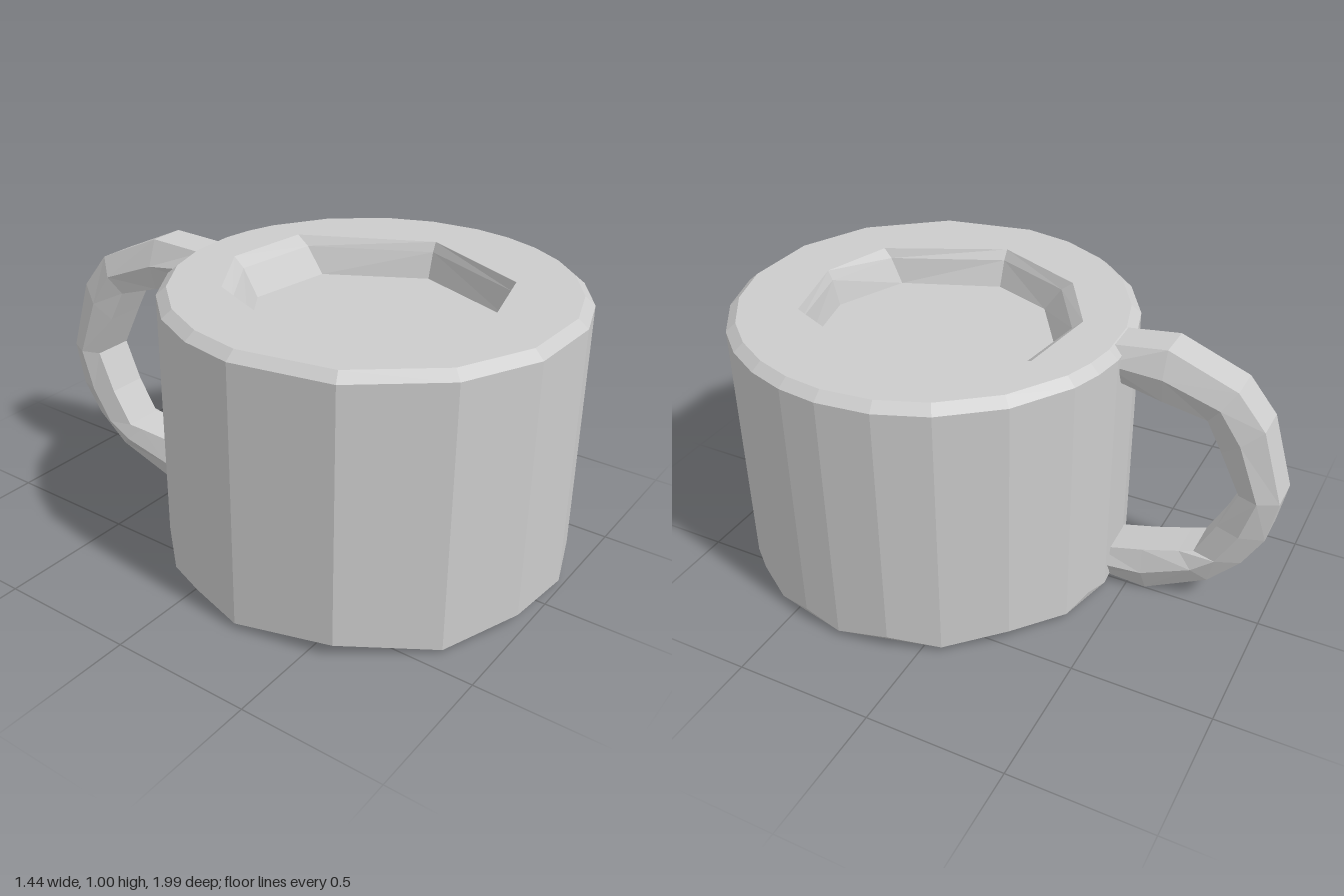
import * as THREE from 'three';

const material = new THREE.MeshStandardMaterial({ color: 0xcccccc, flatShading: true });
const CZ = 0.28; // centre of the cup in z
const R = 0.72; // radius of the cup

// Skins a list of closed rings (equal point counts), with optional flat caps.
function loft(rings, capStart, capEnd) {
  const pos = [];
  const tri = (a, b, c) => pos.push(...a, ...b, ...c);
  const n = rings[0].length;
  for (let k = 0; k < rings.length - 1; k++) {
    const lo = rings[k], hi = rings[k + 1];
    for (let i = 0; i < n; i++) {
      const j = (i + 1) % n;
      // alternate the diagonal for a faceted look
      if (i % 2) {
        tri(lo[i], hi[i], lo[j]);
        tri(hi[i], hi[j], lo[j]);
      } else {
        tri(lo[i], hi[i], hi[j]);
        tri(lo[i], hi[j], lo[j]);
      }
    }
  }
  const cap = (ring, flip) => {
    const c = [0, 1, 2].map((a) => ring.reduce((s, p) => s + p[a], 0) / n);
    for (let i = 0; i < n; i++) {
      const a = ring[i], b = ring[(i + 1) % n];
      if (flip) tri(c, b, a); else tri(c, a, b);
    }
  };
  if (capStart) cap(rings[0], false);
  if (capEnd) cap(rings[rings.length - 1], true);
  const g = new THREE.BufferGeometry();
  g.setAttribute('position', new THREE.Float32BufferAttribute(pos, 3));
  g.computeVertexNormals();
  return g;
}

function part(name, geometry) {
  const mesh = new THREE.Mesh(geometry, material);
  mesh.name = name;
  return mesh;
}

export function createModel() {
  const group = new THREE.Group();
  group.name = 'mug';

  // Uneven corner angles of the base, with a midpoint between each pair
  const corners = [1, 24, 48, 80, 127, 183, 214, 247, 275, 293, 331];
  const angles = corners.flatMap((a, i) => {
    const next = i + 1 < corners.length ? corners[i + 1] : corners[0] + 360;
    return [a, (a + next) / 2];
  }).map(THREE.MathUtils.degToRad);
  const at = (t, r, y) => [r * Math.cos(t), y, CZ + r * Math.sin(t)];
  const circle = (r, y) => angles.map((t) => at(t, r, y));

  // Base: midpoints pulled in to the chord so wedges form under the wall
  const base = circle(R, 0.02).map((p, i, all) => {
    if (i % 2 === 0) return p;
    const a = all[i - 1], b = all[(i + 1) % all.length];
    return [(a[0] + b[0]) / 2, 0.02, (a[2] + b[2]) / 2];
  });
  const foot = angles.map((t, i) => at(t, R, i % 2 ? 0.05 : 0.021));
  const rim = circle(0.685, 0.99);
  group.add(part('cupWall', loft([base, foot, circle(R, 0.96), rim], true, false)));

  // Eight-sided recess: [x, z] at the opening and at the floor
  const opening = [[0.47, 0.24], [0.28, 0.66], [-0.02, 0.74], [-0.28, 0.66],
    [-0.48, 0.24], [-0.33, -0.1], [-0.08, -0.25], [0.24, -0.21]];
  const floor = [[0.43, 0.24], [0.28, 0.63], [-0.02, 0.7], [-0.28, 0.59],
    [-0.42, 0.24], [-0.33, 0.01], [-0.08, -0.15], [0.24, -0.1]];
  const level = (pts, y) => pts.map(([x, z]) => [x, y, z]);
  const lip = opening.map(([x, z], i) => [
    x + (floor[i][0] - x) * 0.4, 0.955, z + (floor[i][1] - z) * 0.4]);
  group.add(part('recess', loft([level(opening, 0.99), lip, level(floor, 0.86)], false, true)));

  // Flat top ring between the rim and the recess
  const shape = new THREE.Shape(rim.map((p) => new THREE.Vector2(p[0], -p[2])));
  shape.holes.push(new THREE.Path(opening.map(([x, z]) => new THREE.Vector2(x, -z))));
  const top = new THREE.ShapeGeometry(shape);
  top.rotateX(-Math.PI / 2);
  top.translate(0, 0.99, 0);
  group.add(part('topRing', top));

  // Handle: [outer z, outer y, inner z, inner y] from top to bottom
  const stations = [
    [-0.38, 0.985, -0.38, 0.87], [-0.58, 1.0, -0.58, 0.81], [-0.82, 0.89, -0.73, 0.765],
    [-0.92, 0.76, -0.785, 0.65], [-1.0, 0.49, -0.86, 0.49], [-0.97, 0.33, -0.8, 0.34],
    [-0.9, 0.21, -0.73, 0.21], [-0.79, 0.1, -0.68, 0.2], [-0.57, 0.0, -0.55, 0.175],
    [-0.38, 0.03, -0.38, 0.145],
  ];
  const rings = stations.map(([oz, oy, iz, iy]) => {
    // the handle leans towards -x as it leaves the cup
    const cx = -0.05 - 0.11 * (-oz - 0.4);
    const p = (dx, f) => [cx + dx, iy + (oy - iy) * f, iz + (oz - iz) * f];
    return [p(-0.075, 0), p(0.075, 0), p(0.1, 0.5), p(0.065, 1), p(-0.065, 1), p(-0.1, 0.5)];
  });
  group.add(part('handle', loft(rings, true, true)));

  return group;
}
